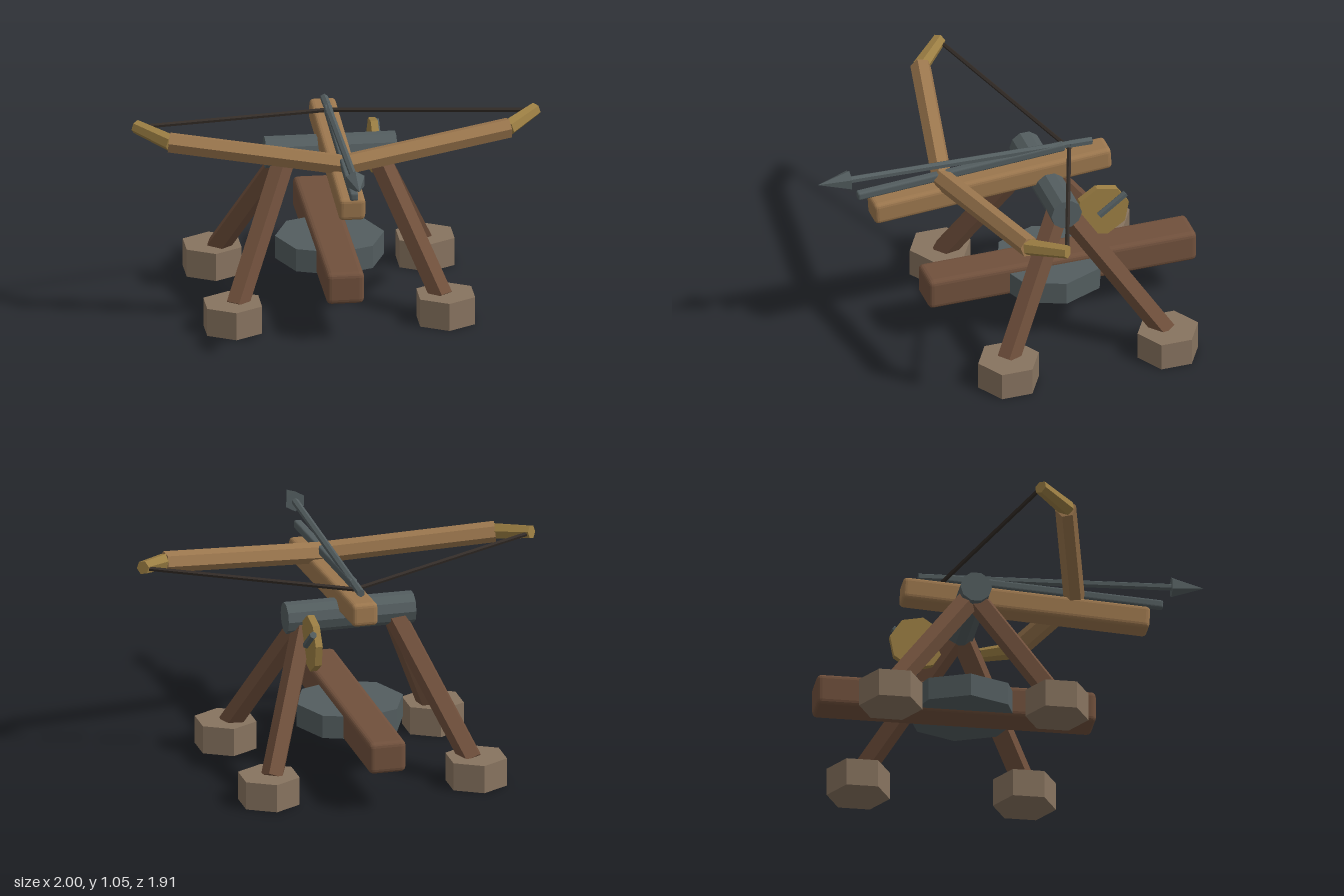
import * as THREE from 'three';
import { RoundedBoxGeometry } from 'three/addons/geometries/RoundedBoxGeometry.js';

const mat = (color) => new THREE.MeshStandardMaterial({ color, flatShading: true });

export function createModel() {
  const model = new THREE.Group();
  const stone = mat(0x87735f), darkWood = mat(0x70503c), wood = mat(0x9c774e);
  const steel = mat(0x535d5f), brass = mat(0x9b7e43), cord = mat(0x332c27);

  const add = (name, geometry, material, x = 0, y = 0, z = 0) => {
    const mesh = new THREE.Mesh(geometry, material);
    mesh.name = name;
    mesh.position.set(x, y, z);
    model.add(mesh);
    return mesh;
  };

  // Faceted bar running from point a to point b
  const bar = (name, a, b, radius, sides, material, endRadius = radius) => {
    const from = new THREE.Vector3(...a), dir = new THREE.Vector3(...b).sub(from);
    const mesh = add(name, new THREE.CylinderGeometry(endRadius, radius, dir.length(), sides), material);
    mesh.position.copy(from).addScaledVector(dir, 0.5);
    mesh.quaternion.setFromUnitVectors(new THREE.Vector3(0, 1, 0), dir.normalize());
    return mesh;
  };

  // Four splayed legs on hexagonal feet
  for (const s of [1, -1]) {
    for (const [end, footZ, legZ] of [['front', 0.155, 0.15], ['back', -0.66, -0.655]]) {
      add(end + 'Foot', new THREE.CylinderGeometry(0.155, 0.155, 0.14, 6), stone, s * 0.52, 0.07, footZ);
      bar(end + 'Leg', [s * 0.5, 0.12, legZ], [s * 0.215, 0.77, -0.21], 0.058, 5, darkWood);
    }
  }

  // Low ground beam and the faceted plate around it
  add('groundBeam', new RoundedBoxGeometry(0.185, 0.16, 1.37, 2, 0.025), darkWood, 0, 0.28, -0.27);
  const quarter = [[0.267, 0], [0.187, 0.195], [0.09, 0.232]];
  const outline = [
    ...quarter,
    ...quarter.slice(1).reverse().map(([x, z]) => [-x, z]),
    [-0.267, 0],
    ...quarter.slice(1).map(([x, z]) => [-x, -z]),
    ...quarter.slice(1).reverse().map(([x, z]) => [x, -z]),
  ].map(([x, z]) => new THREE.Vector2(x, z));
  const plate = new THREE.ExtrudeGeometry(new THREE.Shape(outline), { depth: 0.115, bevelEnabled: false });
  plate.rotateX(-Math.PI / 2);
  add('basePlate', plate, steel, 0, 0.213, -0.228);

  // Cross axle carrying the stock
  bar('axle', [-0.32, 0.77, -0.21], [0.32, 0.77, -0.21], 0.078, 10, steel);

  // Tilted stock with the bolt rail on top
  const tilt = 0.062;
  const stock = add('stock', new RoundedBoxGeometry(0.13, 0.115, 1.215, 2, 0.022), wood, 0, 0.828, 0.077);
  stock.rotation.x = tilt;
  const rail = add('rail', new RoundedBoxGeometry(0.04, 0.042, 1.06, 2, 0.01), steel, 0, 0.917, 0.225);
  rail.rotation.x = tilt;

  // Bow limbs, recurved tips and string
  for (const s of [1, -1]) {
    bar('bowLimb', [0, 0.89, 0.32], [s * 0.83, 0.98, 0.15], 0.052, 6, wood);
    bar('bowTip', [s * 0.82, 0.98, 0.16], [s * 0.975, 1.015, 0.005], 0.042, 6, brass, 0.034);
    bar('bowString', [s * 0.95, 1.01, 0], [0, 0.93, -0.33], 0.011, 5, cord);
  }

  // Bolt with a pointed head and a thicker nock
  bar('boltShaft', [0, 0.952, -0.4], [0, 0.984, 0.8], 0.018, 6, steel);
  bar('boltNock', [0, 0.95, -0.445], [0, 0.953, -0.33], 0.02, 6, steel);
  bar('boltHead', [0, 0.984, 0.795], [0, 0.988, 0.955], 0.052, 6, steel, 0);

  // Winding wheel and its crank on the left side
  bar('windingWheel', [0.22, 0.705, -0.415], [0.255, 0.705, -0.415], 0.138, 8, brass).rotateY(0.2);
  bar('crankHandle', [0.262, 0.69, -0.395], [0.262, 0.79, -0.53], 0.018, 6, steel);

  return model;
}
